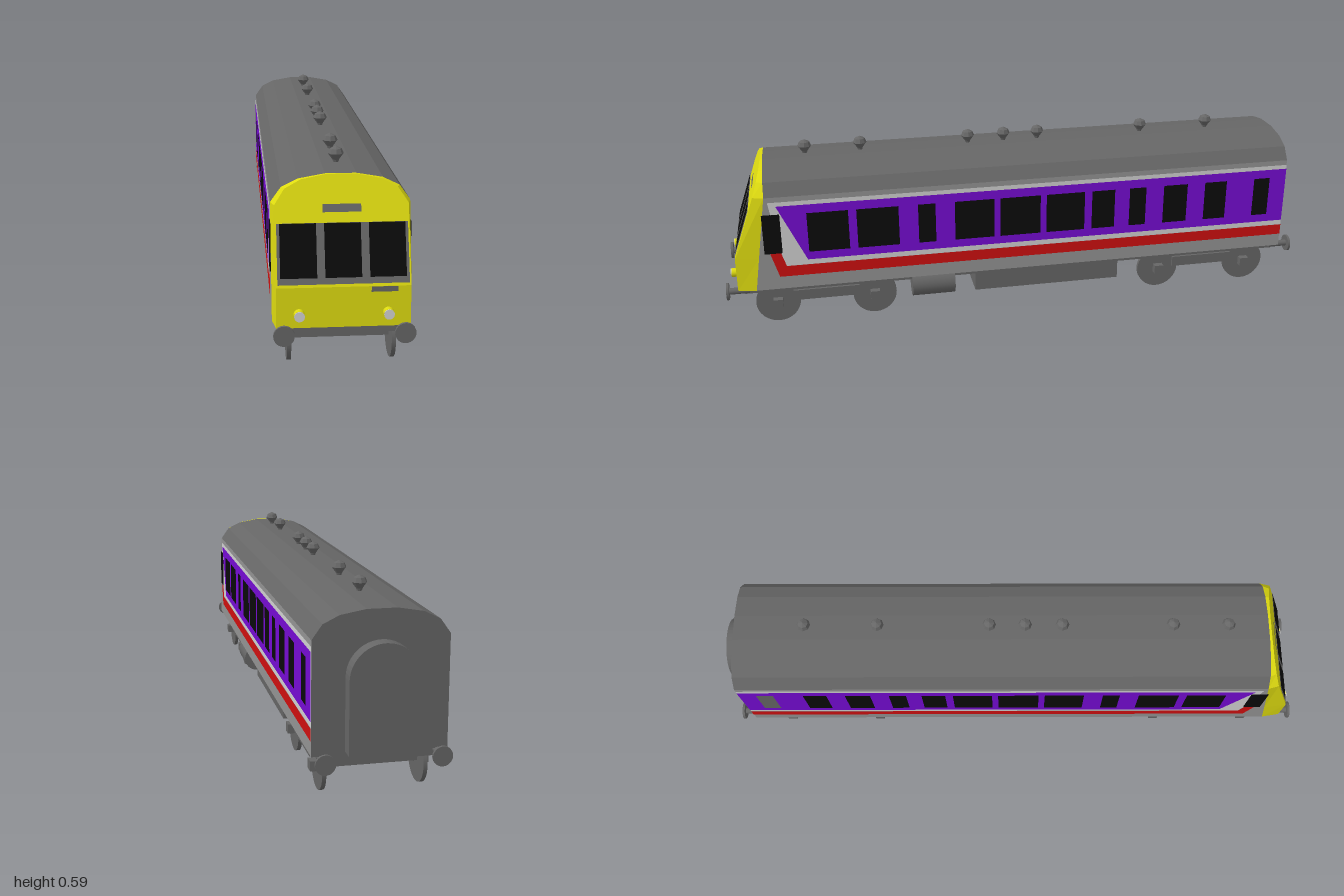
import * as THREE from 'three';

export function createModel() {
  const root = new THREE.Group();
  const mat = (name, color) => {
    const m = new THREE.MeshStandardMaterial({ color });
    m.name = name;
    return m;
  };
  const yellow = mat('cabYellow', 0xdedb10);
  const grey = mat('roofGrey', 0x666666);
  const lightGrey = mat('skirtGrey', 0x949494);
  const white = mat('stripeWhite', 0xd2d2d2);
  const purple = mat('bandPurple', 0x760cd4);
  const red = mat('stripeRed', 0xd01010);
  const black = mat('glassBlack', 0x0a0a0a);

  const add = (name, geo, material, x = 0, y = 0, z = 0) => {
    const m = new THREE.Mesh(geo, material);
    m.name = name;
    m.position.set(x, y, z);
    root.add(m);
    return m;
  };
  const box = (name, w, h, d, material, x, y, z) =>
    add(name, new THREE.BoxGeometry(w, h, d), material, x, y, z);
  const cyl = (name, r, len, axis, material, x, y, z, seg = 24) => {
    const g = new THREE.CylinderGeometry(r, r, len, seg);
    if (axis === 'x') g.rotateZ(Math.PI / 2);
    else g.rotateX(Math.PI / 2);
    return add(name, g, material, x, y, z);
  };
  // Flat-shaded faces from a list of four-cornered loops
  const faces = (quads) => {
    const pos = quads.flatMap(([a, b, c, d]) => [a, b, c, a, c, d].flat());
    const g = new THREE.BufferGeometry();
    g.setAttribute('position', new THREE.Float32BufferAttribute(pos, 3));
    g.computeVertexNormals();
    return g;
  };

  // Body cross-section, right half then mirrored over the top
  const half = [[0.194, 0.14], [0.194, 0.255], [0.194, 0.467], [0.164, 0.509], [0.117, 0.532], [0.043, 0.545]];
  const profile = [...half, ...half.map(([x, y]) => [-x, y]).reverse()];
  const REAR = -0.95;
  const seamZ = (y) => 0.9 - 0.05 * Math.min(1, (y - 0.14) / 0.327);
  const noseZ = (y) => 0.96 - 0.102 * Math.max(0, (y - 0.255) / 0.29);
  const seam = ([x, y]) => [x, y, seamZ(y)];
  const nose = ([x, y]) => [x * 0.95, y, noseZ(y)];
  const rear = ([x, y]) => [x, y, REAR];
  const skin = (i, front, back) => {
    const a = profile[i], b = profile[i + 1];
    return [front(a), back(a), back(b), front(b)];
  };
  // Strips across the section, seen from the front or the back
  const endCap = (at, flip) => half.slice(0, -1).map((p, i) => {
    const q = half[i + 1];
    const s = [[-p[0], p[1]], p, q, [-q[0], q[1]]].map(at);
    return flip ? s.reverse() : s;
  });
  const all = profile.slice(0, -1).map((_, i) => i);
  const isSide = (i) => i < 2 || i > 8;

  add('bodySides', faces(all.filter(isSide).map((i) => skin(i, seam, rear))), lightGrey);
  add('roof', faces(all.filter((i) => !isSide(i)).map((i) => skin(i, seam, rear))), grey);
  add('rearWall', faces(endCap(rear, true)), grey);
  const floorEnd = profile.length - 1;
  add('floor', faces([[rear(profile[0]), seam(profile[0]), seam(profile[floorEnd]), rear(profile[floorEnd])]]), grey);
  add('cab', faces([
    ...all.map((i) => skin(i, nose, seam)),
    ...endCap(nose, false),
    [seam(profile[0]), nose(profile[0]), nose(profile[floorEnd]), seam(profile[floorEnd])],
  ]), yellow);

  // Thin plates laid on the sloping cab front
  const frontPlate = (name, material, x0, x1, y0, y1, off) =>
    add(name, faces([[
      [x0, y0, noseZ(y0) + off], [x1, y0, noseZ(y0) + off],
      [x1, y1, noseZ(y1) + off], [x0, y1, noseZ(y1) + off],
    ]]), material);
  frontPlate('windscreenFrame', grey, -0.18, 0.18, 0.263, 0.42, 0.002);
  for (const x of [-0.122, 0, 0.122]) frontPlate('windscreen', black, x - 0.05, x + 0.05, 0.28, 0.42, 0.004);
  frontPlate('destinationPanel', grey, -0.053, 0.053, 0.447, 0.468, 0.002);
  frontPlate('frontPanel', grey, 0.075, 0.148, 0.24, 0.255, 0.003);

  // Painted plates on the sides, outlined as [z, y]
  const sidePlate = (name, material, s, pts, off) => {
    const shape = new THREE.Shape(pts.map(([z, y]) => new THREE.Vector2(-s * z, y)));
    const g = new THREE.ShapeGeometry(shape);
    g.rotateY(s * Math.PI / 2);
    add(name, g, material, s * (0.194 + off));
  };
  const rect = (z0, z1, y0, y1) => [[z0, y0], [z1, y0], [z1, y1], [z0, y1]];
  const windows = [
    [0.585, 0.719], [0.42, 0.558], [0.297, 0.355], [0.098, 0.232], [-0.062, 0.077], [-0.217, -0.083],
    [-0.324, -0.243], [-0.436, -0.377], [-0.586, -0.5], [-0.73, -0.65], [-0.89, -0.832],
  ];
  for (const s of [1, -1]) {
    sidePlate('whiteBand', white, s, [[REAR, 0.222], [0.795, 0.222], [0.81, 0.265], [0.84, 0.45], [REAR, 0.45]], 0.001);
    sidePlate('purpleBand', purple, s, [[REAR, 0.24], [0.725, 0.24], [0.815, 0.436], [REAR, 0.436]], 0.002);
    sidePlate('redStripe', red, s,
      [[REAR, 0.185], [0.82, 0.185], [0.845, 0.27], [0.81, 0.27], [0.795, 0.222], [REAR, 0.222]], 0.002);
    windows.forEach(([z0, z1], i) => {
      const blanked = s < 0 && i === windows.length - 1;
      sidePlate('sideWindow', blanked ? grey : black, s, rect(z0, z1, 0.268, 0.406), 0.003);
    });
    box('cabDoorWindow', 0.005, 0.137, 0.058, black, s * 0.1945, 0.339, 0.834);

    // Headlights
    cyl('headlightHousing', 0.015, 0.03, 'z', yellow, s * 0.122, 0.18, 0.965);
    cyl('headlightLens', 0.0145, 0.003, 'z', white, s * 0.122, 0.18, 0.981);

    // Buffers at both ends
    for (const e of [1, -1]) {
      cyl('bufferShaft', 0.011, 0.07, 'z', grey, s * 0.165, 0.132, e * 0.96, 12);
      cyl('bufferDisc', 0.029, 0.008, 'z', grey, s * 0.165, 0.132, e * 0.995);
    }
  }

  // Arched gangway on the rear wall
  const arch = new THREE.Shape();
  arch.moveTo(-0.1, 0.15);
  arch.lineTo(0.1, 0.15);
  arch.lineTo(0.1, 0.36);
  arch.absarc(0, 0.36, 0.1, 0, Math.PI, false);
  arch.closePath();
  add('gangway', new THREE.ExtrudeGeometry(arch, { depth: 0.044, bevelEnabled: false, curveSegments: 12 }),
    grey, 0, 0, REAR - 0.044);

  // Roof vents
  const ventProfile = [[0.006, 0.54], [0.01, 0.552], [0.023, 0.57], [0.017, 0.584], [0, 0.592]]
    .map(([r, y]) => new THREE.Vector2(r, y));
  for (const z of [0.71, 0.525, 0.155, 0.03, -0.09, -0.465, -0.71]) {
    const g = new THREE.LatheGeometry(ventProfile, 8).toNonIndexed();
    g.computeVertexNormals();
    add('roofVent', g, grey, 0, 0, z);
  }

  // Underframe, equipment box and tanks
  box('underframe', 0.32, 0.026, 1.88, grey, 0, 0.128, 0);
  box('equipmentBox', 0.314, 0.09, 0.515, grey, 0, 0.095, -0.0975);
  for (const x of [0.147, -0.07]) cyl('tank', 0.046, 0.147, 'z', grey, x, 0.097, 0.308);

  // Two bogies with wheels, axle boxes and side frames
  for (const b of [0.672, -0.67]) {
    box('bogieFrame', 0.28, 0.05, 0.36, grey, 0, 0.093, b);
    for (const s of [1, -1]) {
      box('bogieSideFrame', 0.012, 0.036, 0.22, grey, s * 0.156, 0.094, b);
      for (const e of [1, -1]) {
        const z = b + e * 0.163;
        cyl('wheel', 0.074, 0.012, 'x', grey, s * 0.147, 0.074, z, 32);
        box('axleBox', 0.024, 0.03, 0.032, grey, s * 0.163, 0.073, z);
      }
    }
    for (const e of [1, -1]) cyl('axle', 0.012, 0.29, 'x', grey, 0, 0.074, b + e * 0.163, 10);
  }
  return root;
}
